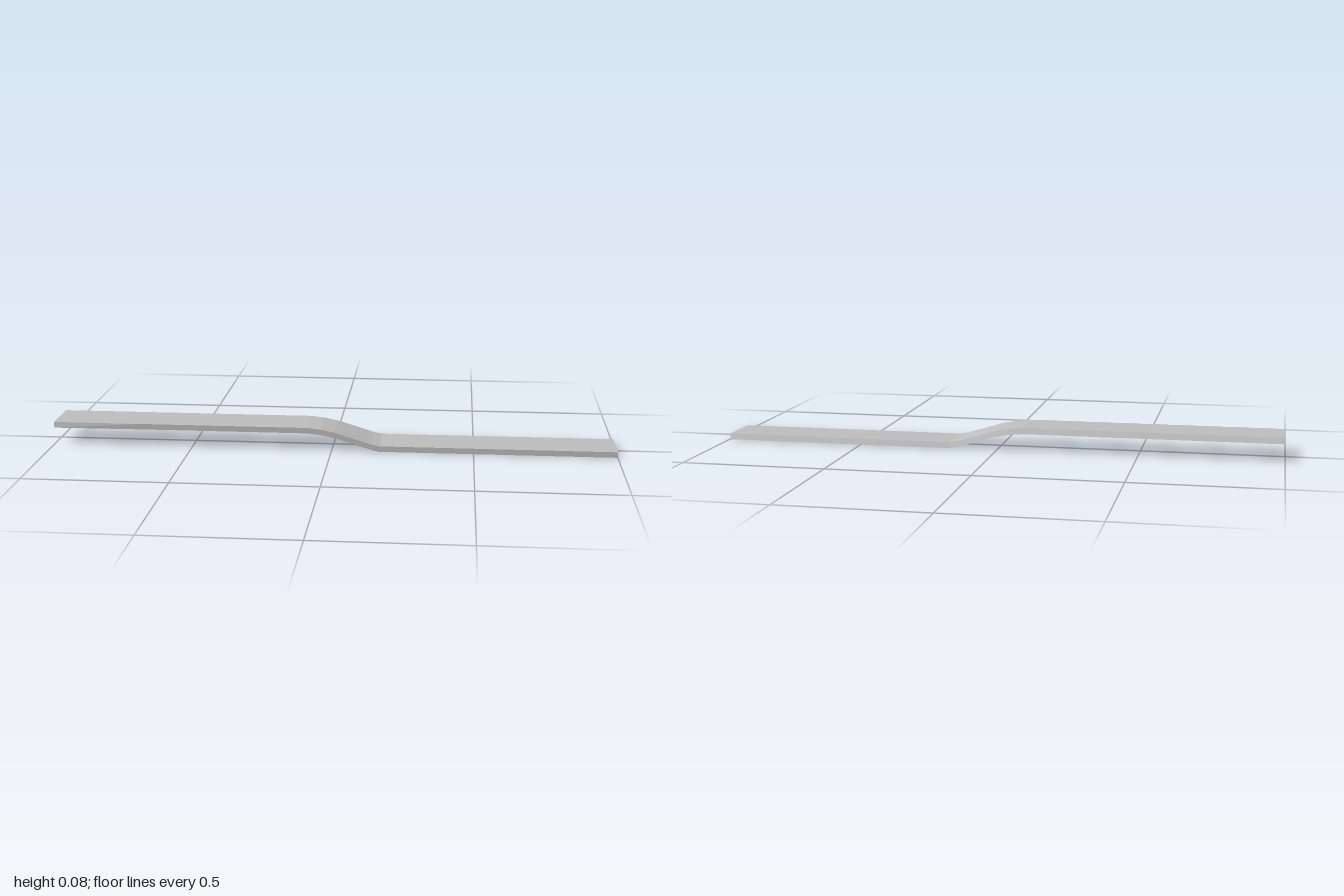
import * as THREE from 'three';

const DEPTH = 0.02; // height of the folded-down edges

// Top line along x: [x, y]
const PROFILE = [
  [-1, 0.083], [-0.68, 0.083], [-0.09, 0.083], [-0.04, 0.078], [0.01, 0.068],
  [0.14, 0.028], [0.17, 0.022], [1, 0.022],
];

// Cross-section: front lower, front upper, back upper, back lower
function section([x, y]) {
  const flare = 0.004 * Math.max(0, (-0.68 - x) / 0.32);
  return [
    [x, y - DEPTH, 0.086 + flare],
    [x, y, 0.086],
    [x, y, -0.078],
    [x, y - DEPTH, -0.088],
  ];
}

function quadGeometry(quads) {
  const points = [];
  for (const [a, b, c, d] of quads) points.push(...a, ...b, ...c, ...a, ...c, ...d);
  const geometry = new THREE.BufferGeometry();
  geometry.setAttribute('position', new THREE.Float32BufferAttribute(points, 3));
  geometry.computeVertexNormals();
  return geometry;
}

export function createModel() {
  const group = new THREE.Group();
  group.name = 'steppedStrip';
  const grey = new THREE.MeshStandardMaterial({ color: 0xbfbfbf, side: THREE.DoubleSide });
  grey.name = 'grey';

  const rings = PROFILE.map(section);
  const add = (name, quads) => {
    const mesh = new THREE.Mesh(quadGeometry(quads), grey);
    mesh.name = name;
    group.add(mesh);
  };

  // Long sheets: front edge, top plate and sloping back edge
  ['frontEdge', 'topPlate', 'backEdge'].forEach((name, j) => {
    const quads = [];
    for (let i = 0; i < rings.length - 1; i++) {
      quads.push([rings[i][j], rings[i + 1][j], rings[i + 1][j + 1], rings[i][j + 1]]);
    }
    add(name, quads);
  });

  // End caps; the underside stays open
  const last = rings[rings.length - 1];
  add('rightEndCap', [rings[0]]);
  add('leftEndCap', [[last[0], last[3], last[2], last[1]]]);
  return group;
}
